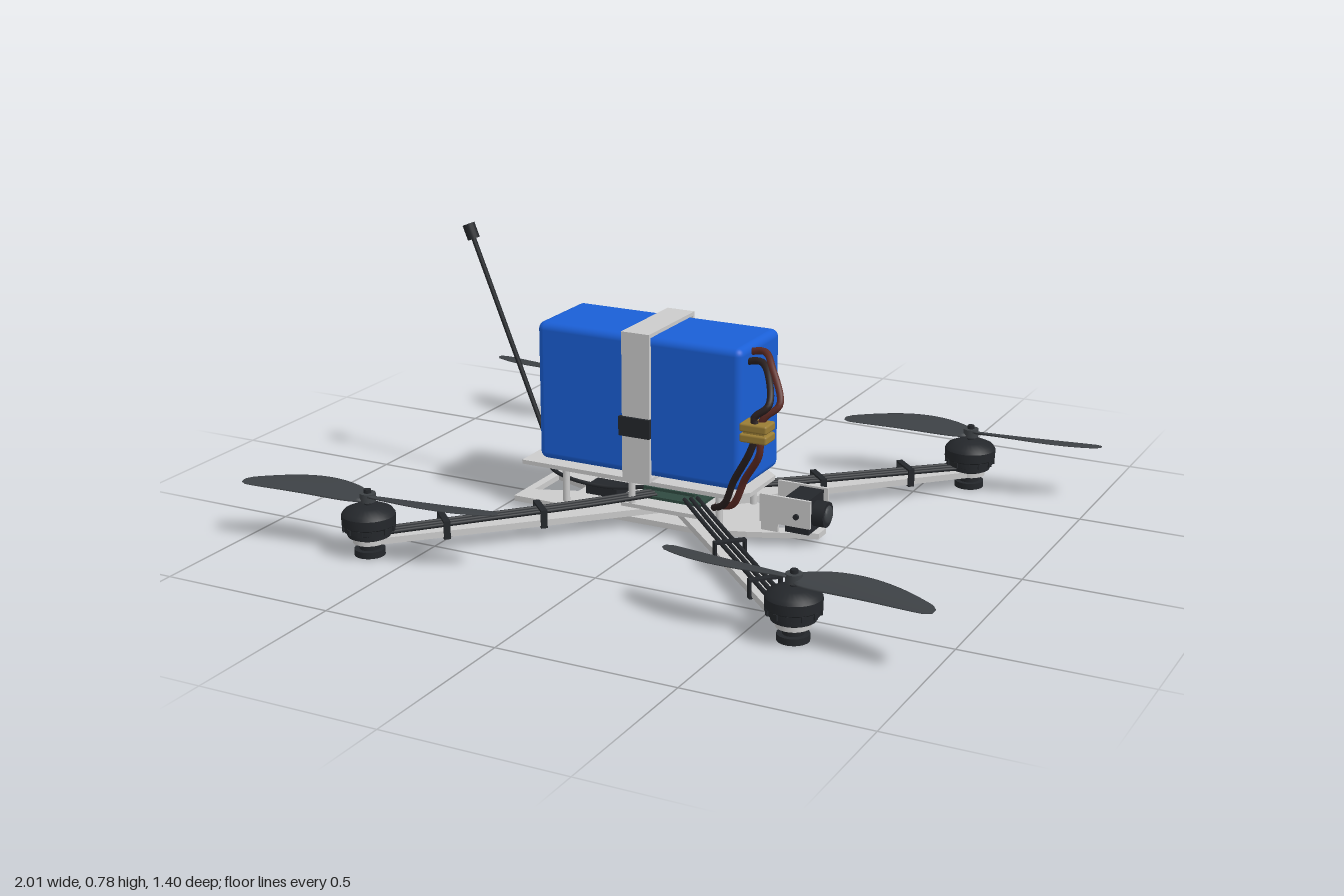
import * as THREE from 'three';
import { RoundedBoxGeometry } from 'three/addons/geometries/RoundedBoxGeometry.js';
import { ParametricGeometry } from 'three/addons/geometries/ParametricGeometry.js';
import { toCreasedNormals } from 'three/addons/utils/BufferGeometryUtils.js';

const mat = (color) => new THREE.MeshStandardMaterial({ color, side: THREE.DoubleSide });
const grey = mat(0xcccccc), dark = mat(0x24272b), propGrey = mat(0x3d4145), blue = mat(0x1a5fd6);
const red = mat(0x5c2a24), black = mat(0x2a2020), gold = mat(0x9a7d35), green = mat(0x2f4a40);

function add(parent, name, geometry, material, x = 0, y = 0, z = 0) {
  const mesh = new THREE.Mesh(geometry, material);
  mesh.name = name;
  mesh.position.set(x, y, z);
  parent.add(mesh);
  return mesh;
}
const box = (w, h, d) => new THREE.BoxGeometry(w, h, d);
const cyl = (r, h, n = 20) => new THREE.CylinderGeometry(r, r, h, n);
const vec = (list) => list.map((p) => new THREE.Vector3(...p));
const wire = (parent, name, points, r, material) =>
  add(parent, name, new THREE.TubeGeometry(new THREE.CatmullRomCurve3(vec(points)), 32, r, 8), material);

// Flat plate from an outline in x and z, with its top at y = 0
function plate(outline, holes, thickness) {
  const toPoints = (list) => list.map((p) => new THREE.Vector2(...p));
  const shape = new THREE.Shape(toPoints(outline));
  holes.forEach((h) => shape.holes.push(new THREE.Path(toPoints(h))));
  return new THREE.ExtrudeGeometry(shape, { depth: thickness, bevelEnabled: false }).rotateX(Math.PI / 2);
}

// Rectangular loop band: outer size w x h, wall t, length d along z
function loopBand(w, h, t, d) {
  const rect = (T, a, b) => new T().moveTo(-a, -b).lineTo(a, -b).lineTo(a, b).lineTo(-a, b).closePath();
  const shape = rect(THREE.Shape, w / 2, h / 2);
  shape.holes.push(rect(THREE.Path, w / 2 - t, h / 2 - t));
  return new THREE.ExtrudeGeometry(shape, { depth: d, bevelEnabled: false }).translate(0, 0, -d / 2);
}

// Twisted blade along +x; hand mirrors it across z
function blade(hand) {
  return new ParametricGeometry((u, v, p) => {
    const a = v * Math.PI * 2 * hand;
    const chord = 0.012 + 0.036 * Math.pow(Math.sin(Math.PI * Math.min(1, 0.05 + Math.pow(u, 0.85) * 0.93)), 0.6);
    const mid = 0.022 * Math.sin(Math.PI * u);
    const twist = 0.32 - 0.22 * u;
    const c = mid + chord * Math.cos(a) * (u > 0.97 ? 0.6 : 1);
    const t = 0.005 * (1 - 0.6 * u) * Math.sin(a) * hand;
    p.set(0.01 + 0.37 * u, t + c * Math.sin(twist), hand * c * Math.cos(twist));
  }, 24, 14);
}

function buildArm(sx, sz) {
  const arm = new THREE.Group();
  arm.name = 'arm';
  const reach = 0.625 * Math.SQRT2;
  add(arm, 'armBeam', box(reach - 0.04, 0.018, 0.075), grey, reach / 2 + 0.02, 0.046, 0);
  add(arm, 'armTip', cyl(0.045, 0.018, 24), grey, reach, 0.046, 0);
  for (const z of [-0.019, 0, 0.019]) {
    wire(arm, 'motorWire', [[0.08, 0.085, z], [0.3, 0.075, z], [0.6, 0.068, z], [reach - 0.03, 0.062, z]], 0.006, dark);
  }
  for (const x of [0.41, 0.68]) {
    add(arm, 'armBand', loopBand(0.09, 0.052, 0.006, 0.018).rotateY(Math.PI / 2), dark, x, 0.059, 0);
  }
  arm.rotation.y = Math.atan2(-sz, sx);

  // Motor
  const motor = new THREE.Group();
  motor.name = 'motor';
  motor.position.x = reach;
  const profile = [[0, 0.05], [0.045, 0.05], [0.058, 0.056], [0.058, 0.068], [0.068, 0.072], [0.068, 0.086],
    [0.073, 0.09], [0.073, 0.116], [0.066, 0.126], [0.04, 0.138], [0.018, 0.142], [0, 0.142]];
  add(motor, 'motorBell', toCreasedNormals(
    new THREE.LatheGeometry(profile.map((p) => new THREE.Vector2(...p)), 28), 0.6), dark);
  for (let i = 0; i < 12; i++) {
    const a = (i / 12) * Math.PI * 2;
    const rib = add(motor, 'coolingRib', box(0.012, 0.016, 0.012), dark, 0.066 * Math.cos(a), 0.08, -0.066 * Math.sin(a));
    rib.rotation.y = a;
  }
  add(motor, 'propShaft', cyl(0.01, 0.05, 12), dark, 0, 0.16, 0);
  add(motor, 'footStem', cyl(0.028, 0.025), dark, 0, 0.028, 0);
  add(motor, 'landingFoot', cyl(0.042, 0.018), dark, 0, 0.009, 0);
  arm.add(motor);
  return arm;
}

function buildPropeller(sx, sz) {
  const prop = new THREE.Group();
  prop.name = 'propeller';
  const hand = -sx * sz;
  for (const turn of [0, Math.PI]) add(prop, 'propBlade', blade(hand), propGrey).rotation.y = turn;
  add(prop, 'propHub', cyl(0.022, 0.024), propGrey);
  add(prop, 'propNut', cyl(0.01, 0.02, 6), dark, 0, 0.012, 0);
  prop.position.set(0.625 * sx, 0.163, 0.625 * sz);
  prop.rotation.y = 0.115 * hand;
  return prop;
}

function buildFrame() {
  const frame = new THREE.Group();
  frame.name = 'frame';
  add(frame, 'bottomPlate', plate(
    [[-0.465, -0.14], [0.12, -0.14], [0.25, -0.1], [0.43, -0.025], [0.43, 0.025], [0.25, 0.1], [0.12, 0.14], [-0.465, 0.14]],
    [[[-0.44, -0.07], [-0.32, -0.025], [-0.32, 0.025], [-0.44, 0.07]], [[0.28, -0.05], [0.37, 0], [0.28, 0.05]]],
    0.016), grey, 0, 0.036, 0);
  add(frame, 'topPlate', plate(
    [[-0.445, -0.125], [0.2, -0.125], [0.25, -0.08], [0.25, 0.08], [0.2, 0.125], [-0.445, 0.125]],
    [[[-0.43, -0.025], [-0.4, -0.012], [-0.4, 0.012], [-0.43, 0.025]],
      [[-0.3, -0.06], [-0.15, -0.06], [-0.15, 0.06], [-0.3, 0.06]]], 0.012), grey, 0, 0.142, 0);
  add(frame, 'clampPlate', box(0.26, 0.012, 0.24), grey, 0, 0.06, 0);
  for (const z of [-0.11, 0.11]) {
    for (const x of [-0.31, -0.1, 0.17]) add(frame, 'standoff', cyl(0.01, 0.1, 12), grey, x, 0.083, z);
  }
  // Electronics stack
  add(frame, 'powerBoard', box(0.2, 0.008, 0.17), green, 0, 0.08, 0);
  add(frame, 'flightBoard', box(0.16, 0.008, 0.16), green, 0, 0.105, 0);
  add(frame, 'chip', box(0.05, 0.012, 0.05), dark, 0, 0.114, 0);
  add(frame, 'receiver', box(0.1, 0.025, 0.07), dark, -0.24, 0.05, 0);
  return frame;
}

function buildCamera() {
  const camera = new THREE.Group();
  camera.name = 'camera';
  for (const z of [-0.06, 0.06]) {
    add(camera, 'cameraSidePlate', box(0.15, 0.08, 0.008), grey, 0.345, 0.099, z);
    add(camera, 'cameraTab', box(0.05, 0.03, 0.008), grey, 0.3, 0.048, z);
    add(camera, 'cameraScrew', cyl(0.008, 0.014, 10).rotateX(Math.PI / 2), dark, 0.38, 0.09, z * 1.08);
  }
  add(camera, 'cameraBody', box(0.07, 0.1, 0.1), dark, 0.375, 0.086, 0);
  add(camera, 'lensBarrel', cyl(0.036, 0.04, 16).rotateZ(Math.PI / 2), dark, 0.425, 0.085, 0);
  add(camera, 'lensGlass', new THREE.SphereGeometry(0.026, 16, 10).scale(0.4, 1, 1), propGrey, 0.445, 0.085, 0);
  return camera;
}

function buildBattery() {
  const battery = new THREE.Group();
  battery.name = 'battery';
  add(battery, 'batteryPack', new RoundedBoxGeometry(0.63, 0.4, 0.25, 4, 0.022), blue, -0.075, 0.355, 0);
  add(battery, 'batteryStrap', loopBand(0.274, 0.425, 0.011, 0.085).rotateY(Math.PI / 2), grey, -0.073, 0.353, 0);
  add(battery, 'strapBuckle', box(0.095, 0.055, 0.012), dark, -0.075, 0.298, 0.139);

  // Main power leads and plug
  [[0, red], [0.022, black]].forEach(([o, m]) => {
    wire(battery, 'batteryLead', [[0.22, 0.53 - o, 0.05 + o], [0.28, 0.54 - o, 0.06 + o], [0.32, 0.51 - o, 0.1 + o],
      [0.365 - o, 0.43, 0.15 + o], [0.33 - o, 0.395, 0.165 + o], [0.315, 0.37, 0.165 + o]], 0.01, m);
    wire(battery, 'frameLead', [[0.315, 0.345, 0.165 + o], [0.315 - o, 0.29, 0.165 + o], [0.26 - o, 0.2, 0.14 + o],
      [0.22 - o, 0.12, 0.125 + o / 2], [0.15, 0.09, 0.08 + o]], 0.01, m);
  });
  for (const y of [0.341, 0.37]) {
    add(battery, 'powerPlug', new RoundedBoxGeometry(0.08, 0.024, 0.06, 2, 0.006), gold, 0.312, y, 0.175);
  }
  add(battery, 'plugCore', box(0.06, 0.05, 0.045), gold, 0.312, 0.355, 0.175);

  // Balance lead on the back
  wire(battery, 'balanceLead', [[0.22, 0.52, -0.115], [0.17, 0.5, -0.138], [0.05, 0.44, -0.142], [-0.06, 0.38, -0.148]], 0.007, dark);
  add(battery, 'balancePlug', box(0.045, 0.045, 0.022), dark, -0.07, 0.37, -0.148);
  return battery;
}

function buildAntenna() {
  const antenna = new THREE.Group();
  antenna.name = 'antenna';
  const rod = new THREE.LineCurve3(...vec([[-0.43, 0.15, 0], [-0.668, 0.74, 0]]));
  const cap = new THREE.Group();
  cap.position.set(-0.674, 0.755, 0);
  cap.rotation.z = Math.atan2(0.238, 0.59);
  add(antenna, 'antennaRod', new THREE.TubeGeometry(rod, 1, 0.007, 8), dark);
  add(cap, 'antennaCap', cyl(0.018, 0.045, 16), dark);
  antenna.add(cap);
  add(antenna, 'antennaBase', cyl(0.014, 0.05, 12), dark, -0.435, 0.15, 0);
  wire(antenna, 'antennaCable', [[-0.435, 0.13, 0], [-0.41, 0.1, 0.03], [-0.33, 0.085, 0.06], [-0.2, 0.075, 0.05], [-0.08, 0.09, 0.03]], 0.006, dark);
  return antenna;
}

export function createModel() {
  const model = new THREE.Group();
  model.name = 'quadcopter';
  model.add(buildFrame(), buildCamera(), buildBattery(), buildAntenna());
  for (const sx of [-1, 1]) {
    for (const sz of [-1, 1]) model.add(buildArm(sx, sz), buildPropeller(sx, sz));
  }
  return model;
}
